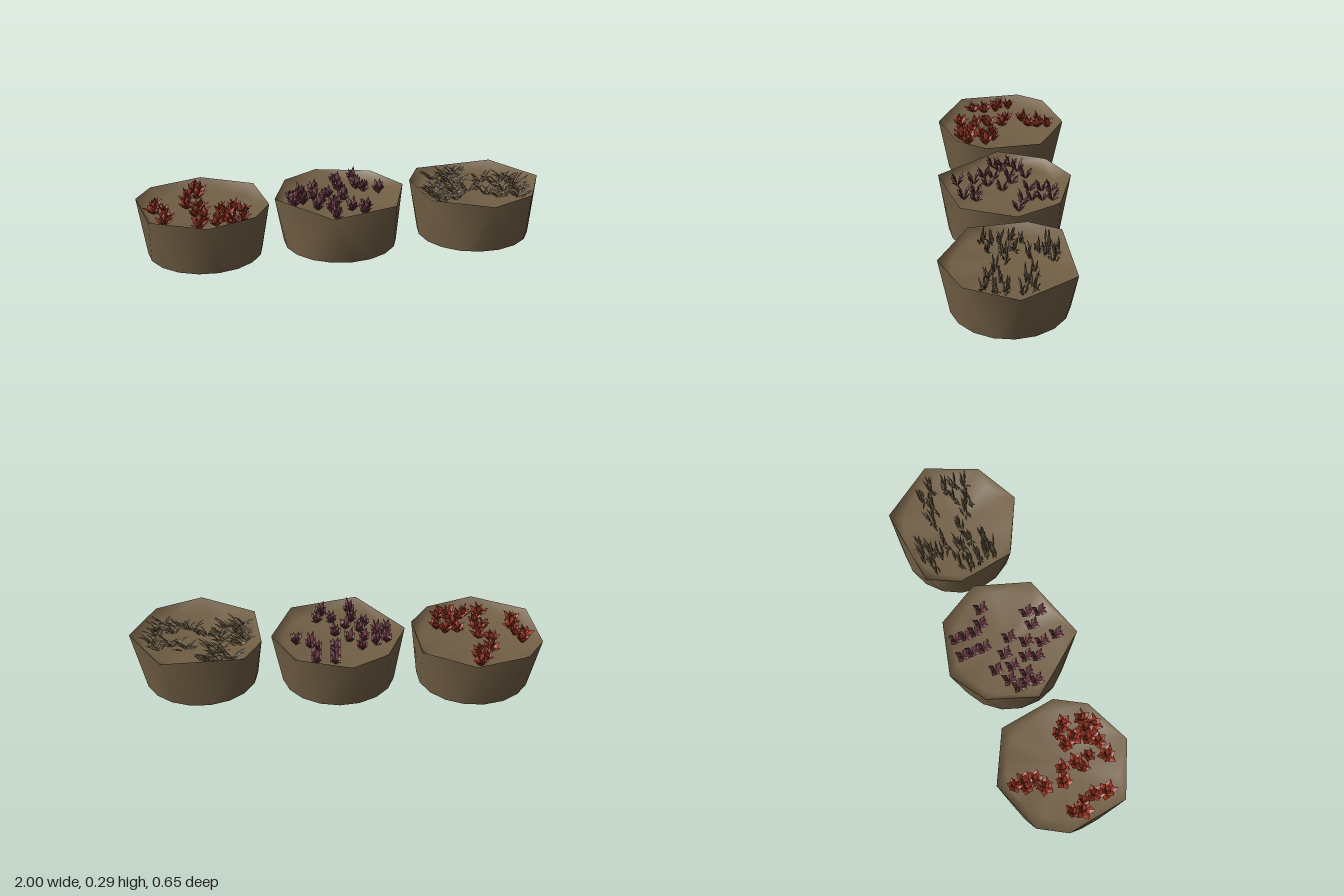
import * as THREE from 'three';

const mat = (name, color, flatShading = false) => {
  const m = new THREE.MeshStandardMaterial({ color, flatShading, side: THREE.DoubleSide });
  m.name = name;
  return m;
};

function meshOf(name, pos, index, material) {
  const g = new THREE.BufferGeometry();
  g.setAttribute('position', new THREE.Float32BufferAttribute(pos.flat(), 3));
  if (index) g.setIndex(index);
  g.computeVertexNormals();
  const m = new THREE.Mesh(g, material);
  m.name = name;
  return m;
}

const RIM = 0.25, SOIL = 0.205, RISE = 0.012, RING_R = 0.277, RING_N = 18, TAU = Math.PI * 2;

// Triangles joining the rim to a round ring: corner fans between one broad triangle per rim edge
function stitch(rimA) {
  const n = rimA.length - 1, idx = [];
  for (let i = 0, j = 0; i < n || j < RING_N;) {
    const mid = i < n ? (rimA[i] + rimA[i + 1]) / 2 : Infinity;
    const b = n + j % RING_N;
    if (i < n && (j >= RING_N || mid <= (j + 1) / RING_N * TAU)) {
      idx.push(i, (i + 1) % n, b);
      i++;
    } else {
      idx.push(i % n, n + (j + 1) % RING_N, b);
      j++;
    }
  }
  return idx;
}

// Irregular polygonal rim over a round base, filled with soil to just below the rim
function bowl(cx, rimXZ, material) {
  const group = new THREE.Group();
  group.name = 'bowl';
  const n = rimXZ.length;
  const a0 = Math.atan2(rimXZ[0][1], rimXZ[0][0] - cx);
  const rim = rimXZ.map(([x, z]) => [x, RIM, z]);
  const rimA = rimXZ.map(([x, z], i) => i ? (Math.atan2(z, x - cx) - a0 + TAU) % TAU : 0);
  rimA.push(TAU);
  const ring = (y, r) => Array.from({ length: RING_N }, (_, j) => {
    const a = a0 + (j + 0.5) / RING_N * TAU;
    return [cx + r * Math.cos(a), y, r * Math.sin(a)];
  });
  const wall = stitch(rimA), cap = [], fan = [];
  for (let j = 0; j < RING_N; j++) {
    const k = (j + 1) % RING_N;
    cap.push(RING_N, j, k);
    fan.push(n + RING_N, n + k, n + j);
  }
  const base = ring(0, RING_R);
  group.add(meshOf('outerWall', [...rim, ...base], wall, material));
  group.add(meshOf('underside', [...base, [cx, 0, 0]], cap, material));
  // the inside uses the wall triangles turned over, closed by the soil
  group.add(meshOf('soil', [...rim, ...ring(SOIL, RING_R - 0.008), [cx, SOIL + RISE, 0]],
    [...[...wall].reverse(), ...fan], material));
  return group;
}

function seeded(s) {
  return () => (s = (s * 16807) % 2147483647) / 2147483647;
}

// One folded, pointed leaf: two halves meeting on a raised spine
function leaf(out, [x, y, z], angle, length, height, width) {
  const dx = Math.cos(angle), dz = Math.sin(angle);
  const at = (r, w, h) => [x + dx * r - dz * w, y + h, z + dz * r + dx * w];
  const tip = at(length, 0, height), root = at(0, 0, 0);
  const l = at(length * 0.5, width, height * 0.6), r = at(length * 0.5, -width, height * 0.6);
  const spine = at(length * 0.5, 0, height * 0.75);
  out.push(root, spine, l, l, spine, tip, root, r, spine, r, tip, spine);
}

// Leaf arrangements for the three kinds of plant
const tufts = {
  rosette(out, p, rnd) {
    const turn = rnd() * TAU, s = 0.8 + rnd() * 0.4;
    for (let k = 0; k < 6; k++)
      leaf(out, p, turn + k / 6 * TAU, (0.036 + rnd() * 0.014) * s, 0.03 + rnd() * 0.025, 0.018 * s);
    for (let k = 0; k < 3; k++) leaf(out, p, turn + k / 3 * TAU, 0.02, 0.05 + rnd() * 0.03, 0.014);
  },
  cross(out, p, rnd) {
    for (const sx of [-1, 1]) for (const sz of [-1, 1]) {
      leaf(out, p, Math.atan2(sz * 1.2, sx), 0.042, 0.03 + rnd() * 0.025, 0.015);
      leaf(out, p, Math.atan2(sz * 2.2, sx), 0.032, 0.045 + rnd() * 0.04, 0.012);
    }
  },
  grass(out, [x, y, z], rnd) {
    for (let k = 0; k < 11; k++) {
      const a = (k % 2) * Math.PI + (rnd() - 0.5) * 0.8;
      const p = [x + (rnd() - 0.5) * 0.04, y, z + (rnd() - 0.5) * 0.025];
      leaf(out, p, a, 0.035 + rnd() * 0.035, 0.02 + rnd() * 0.045, 0.005);
    }
  },
};

function planting(name, kind, spots, material, seed) {
  const rnd = seeded(seed), pos = [];
  for (const [x, z] of spots) tufts[kind](pos, [x, SOIL, z], rnd);
  return meshOf(name, pos, null, material);
}

export function createModel() {
  const model = new THREE.Group();
  model.name = 'planterBowls';
  const clay = mat('brown clay', 0x725f45);
  const red = mat('red leaves', 0x94331f, true);
  const purple = mat('purple leaves', 0x6c3942, true);
  const olive = mat('olive leaves', 0x66583f, true);

  // rim corners, as x and z
  model.add(bowl(-0.68, [[-0.665, -0.33], [-0.415, -0.2], [-0.375, 0.08], [-0.46, 0.225],
    [-0.69, 0.325], [-0.955, 0.2], [-1, -0.105], [-0.92, -0.24]], clay));
  model.add(bowl(-0.015, [[-0.08, -0.33], [0.19, -0.26], [0.31, -0.05], [0.22, 0.22],
    [-0.105, 0.325], [-0.34, 0.025], [-0.255, -0.215]], clay));
  model.add(bowl(0.66, [[0.43, -0.25], [0.825, -0.295], [1, -0.035], [0.895, 0.215],
    [0.675, 0.325], [0.4, 0.185], [0.355, -0.095]], clay));

  // plant positions, as x and z
  model.add(planting('redRosettes', 'rosette', [
    [-0.69, -0.25], [-0.72, -0.2], [-0.69, -0.2], [-0.75, -0.12], [-0.7, -0.15],
    [-0.91, -0.05], [-0.92, 0.0], [-0.88, 0.02], [-0.76, -0.03], [-0.7, -0.01],
    [-0.88, 0.14], [-0.87, 0.08], [-0.73, 0.08], [-0.69, 0.13], [-0.7, 0.06],
    [-0.6, 0.05], [-0.58, 0.1], [-0.54, 0.04], [-0.5, 0.08], [-0.61, 0.16],
    [-0.64, 0.2], [-0.56, 0.17], [-0.72, 0.21], [-0.56, 0.21], [-0.51, 0.17]], red, 11));
  model.add(planting('purplePlants', 'cross', [
    [0, -0.23], [0.09, -0.23], [0, -0.18], [0.09, -0.18], [0, -0.12], [0.09, -0.13],
    [0.12, -0.09], [0.19, -0.06], [-0.13, -0.11], [-0.25, -0.04], [-0.2, -0.07],
    [-0.24, 0], [-0.14, -0.03], [-0.07, -0.04], [0, 0.01], [-0.25, 0.05], [-0.2, 0.02],
    [-0.12, 0.05], [-0.05, 0.08], [-0.14, 0.1], [-0.08, 0.15], [0.02, 0.14],
    [0.09, 0.14], [0.07, 0.2], [-0.07, 0.23]], purple, 23));
  model.add(planting('oliveGrass', 'grass', [
    [0.56, -0.22], [0.5, -0.18], [0.58, -0.17], [0.54, -0.13], [0.62, -0.2],
    [0.47, -0.06], [0.59, -0.09], [0.72, -0.1], [0.86, -0.1], [0.79, -0.07],
    [0.88, -0.05], [0.45, -0.01], [0.54, -0.02], [0.46, 0.04], [0.56, 0.03],
    [0.47, 0.08], [0.46, 0.12], [0.54, 0.1], [0.64, 0.02], [0.71, 0.07],
    [0.8, 0.04], [0.87, 0.02], [0.87, 0.07], [0.77, 0.11], [0.86, 0.12]], olive, 37));
  return model;
}
